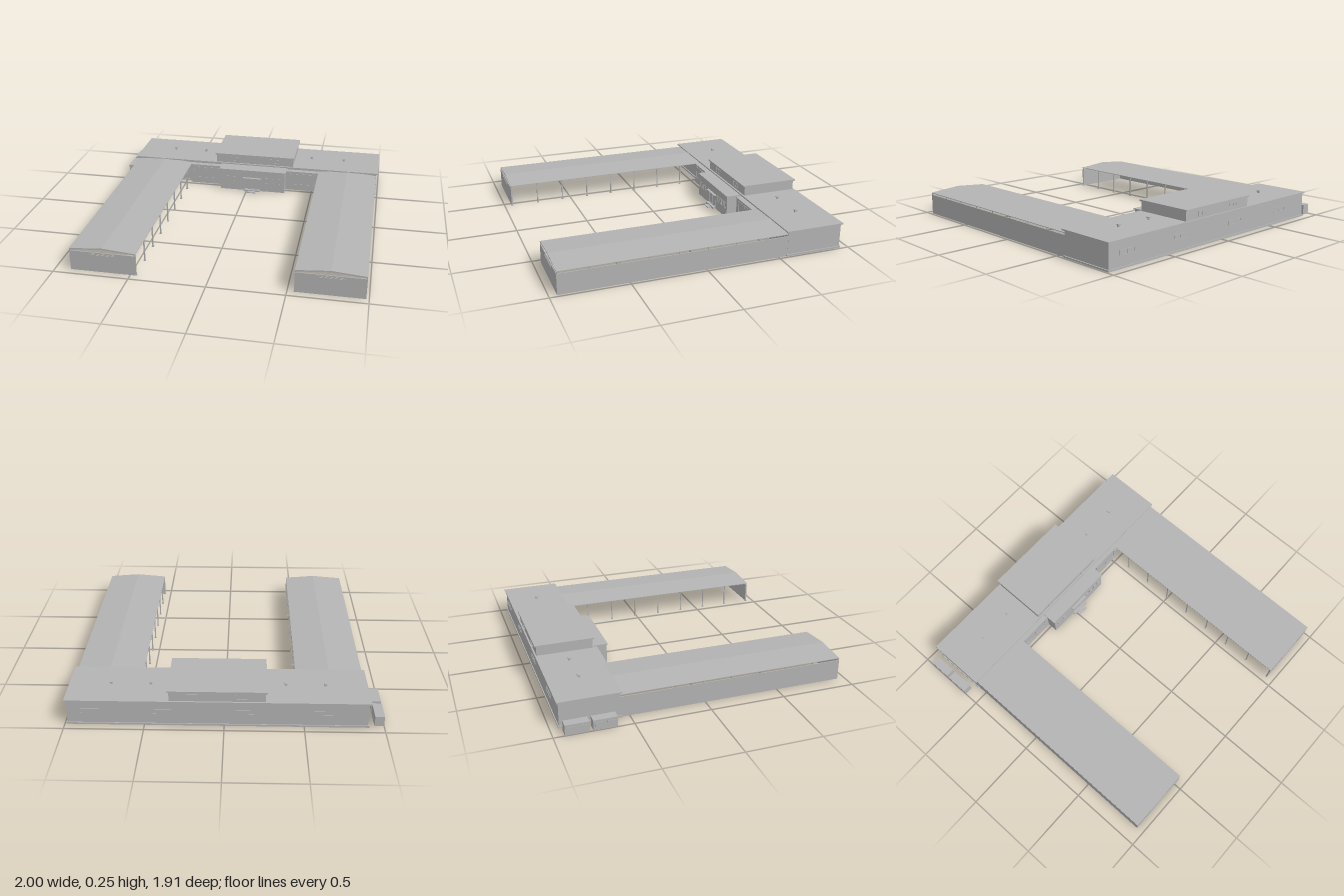
import * as THREE from 'three';

const grey = new THREE.MeshStandardMaterial({ color: 0xb4b4b4 });
grey.name = 'light grey';
const CX = 0.0425; // symmetry axis of the building

export function createModel() {
  const model = new THREE.Group();
  model.name = 'courtyardBuilding';

  const add = (name, geometry, parent = model) => {
    const mesh = new THREE.Mesh(geometry, grey);
    mesh.name = name;
    parent.add(mesh);
    return mesh;
  };
  // Box given by its limits on each axis
  const box = (name, x0, x1, y0, y1, z0, z1, parent) => {
    const g = new THREE.BoxGeometry(x1 - x0, y1 - y0, z1 - z0);
    g.translate((x0 + x1) / 2, (y0 + y1) / 2, (z0 + z1) / 2);
    return add(name, g, parent);
  };
  // Thin rectangular frame with a mullion, lying on a wall at depth z
  const frame = (name, x0, x1, y0, y1, z, parent, mullion = true) => {
    const t = 0.004, a = z - 0.002, b = z + 0.002;
    const g = new THREE.Group();
    g.name = name;
    (parent || model).add(g);
    box('sill', x0, x1, y0, y0 + t, a, b, g);
    box('head', x0, x1, y1 - t, y1, a, b, g);
    box('jamb', x0, x0 + t, y0 + t, y1 - t, a, b, g);
    box('jamb', x1 - t, x1, y0 + t, y1 - t, a, b, g);
    if (mullion) box('mullion', (x0 + x1 - t) / 2, (x0 + x1 + t) / 2, y0 + t, y1 - t, a, b, g);
  };

  // Main block with its raised centre
  box('mainFloor', -0.905, 0.99, 0, 0.012, -0.948, -0.552);
  box('mainBlock', -0.898, 0.983, 0.012, 0.168, -0.942, -0.56);
  box('mainRoof', -0.91, 0.995, 0.168, 0.177, -0.953, -0.547);
  box('raisedCentre', -0.258, 0.343, 0.177, 0.242, -0.942, -0.56);
  box('raisedRoof', -0.267, 0.352, 0.242, 0.252, -0.953, -0.547);

  // Windows of the raised centre, and of the back wall
  for (const s of [-1, 1]) {
    const x = CX + s * 0.152;
    frame('upperWindowFront', x - 0.038, x + 0.038, 0.19, 0.225, -0.559);
    frame('upperWindowBack', x - 0.038, x + 0.038, 0.19, 0.225, -0.943);
  }
  for (const x of [-0.62, -0.13, 0.39, 0.84])
    frame('backWindow', x - 0.06, x + 0.06, 0.08, 0.112, -0.943);

  // Roof vents
  for (const x of [-0.64, -0.387, 0.472, 0.725]) {
    box('ventPipe', x - 0.006, x + 0.006, 0.177, 0.188, -0.756, -0.744);
    box('ventCap', x - 0.01, x + 0.01, 0.188, 0.196, -0.76, -0.74);
  }

  // Glazed corridor, entrance block and steps
  box('corridor', -0.46, 0.545, 0, 0.148, -0.56, -0.524);
  box('corridorRoof', -0.46, 0.545, 0.148, 0.155, -0.56, -0.518);
  box('entranceBlock', -0.206, 0.294, 0, 0.16, -0.56, -0.45);
  box('entranceRoof', -0.214, 0.301, 0.16, 0.168, -0.56, -0.444);
  for (const s of [-1, 1]) {
    const x = CX + s * 0.383;
    frame('corridorWindow', x - 0.1, x + 0.1, 0.045, 0.135, -0.523);
  }
  for (const x of [-0.16, -0.105, 0.145, 0.185, 0.225, 0.265])
    frame('entranceWindow', x - 0.017, x + 0.017, 0.068, 0.11, -0.449, undefined, false);
  frame('door', -0.015, 0.1, 0.012, 0.1, -0.449);
  box('doorCanopy', -0.028, 0.112, 0.103, 0.108, -0.45, -0.43);
  box('upperStep', -0.02, 0.105, 0, 0.012, -0.45, -0.428);
  const stepShape = new THREE.Shape([
    [0.02, 0.428], [0.065, 0.428], [0.078, 0.4], [0.008, 0.4],
  ].map(([x, y]) => new THREE.Vector2(x, y)));
  const step = new THREE.ExtrudeGeometry(stepShape, { depth: 0.006, bevelEnabled: false });
  step.rotateX(-Math.PI / 2);
  add('lowerStep', step);

  // Open-sided wings: built for +x around x = 0, then mirrored
  const half = 0.219, inner = -half, outer = half;
  const gable = (y, rise, t, z0, z1) => {
    const shape = new THREE.Shape([
      [inner, y], [0, y + rise], [outer, y], [outer, y + t], [0, y + rise + t], [inner, y + t],
    ].map(([a, b]) => new THREE.Vector2(a, b)));
    const g = new THREE.ExtrudeGeometry(shape, { depth: z1 - z0, bevelEnabled: false });
    return g.translate(0, 0, z0);
  };
  for (const s of [-1, 1]) {
    const wing = new THREE.Group();
    wing.name = s > 0 ? 'leftWing' : 'rightWing';
    wing.position.x = CX + s * 0.7205;
    wing.scale.x = s;
    model.add(wing);

    add('wingRoof', gable(0.15, 0.018, 0.004, -0.56, 0.95), wing);
    box('outerWall', outer - 0.006, outer, 0, 0.138, -0.56, 0.95, wing);
    box('endWall', inner, outer - 0.006, 0, 0.138, 0.944, 0.95, wing);
    frame('endWallVent', -0.08, 0.09, 0.118, 0.13, 0.951, wing, false);

    // Frames at regular bays: inner post, stub on the wall, rafters and tie
    for (let i = 0; i < 8; i++) {
      const z = 0.944 - i * 0.1905;
      const a = z - 0.004, b = z + 0.004;
      box('post', inner, inner + 0.008, 0, 0.15, a, b, wing);
      box('postFoot', inner - 0.003, inner + 0.011, 0, 0.006, z - 0.007, z + 0.007, wing);
      box('wallStub', outer - 0.007, outer - 0.001, 0.138, 0.15, a, b, wing);
      add('rafter', gable(0.143, 0.018, 0.007, a, b), wing);
    }
  }

  // Two service boxes beside the main block
  for (const z of [-0.853, -0.68]) {
    box('serviceBox', -1, -0.94, 0, 0.07, z - 0.076, z + 0.076);
    for (const d of [-0.037, 0.037])
      box('serviceGrille', -1.002, -0.999, 0.015, 0.055, z + d - 0.025, z + d + 0.025);
  }

  return model;
}
